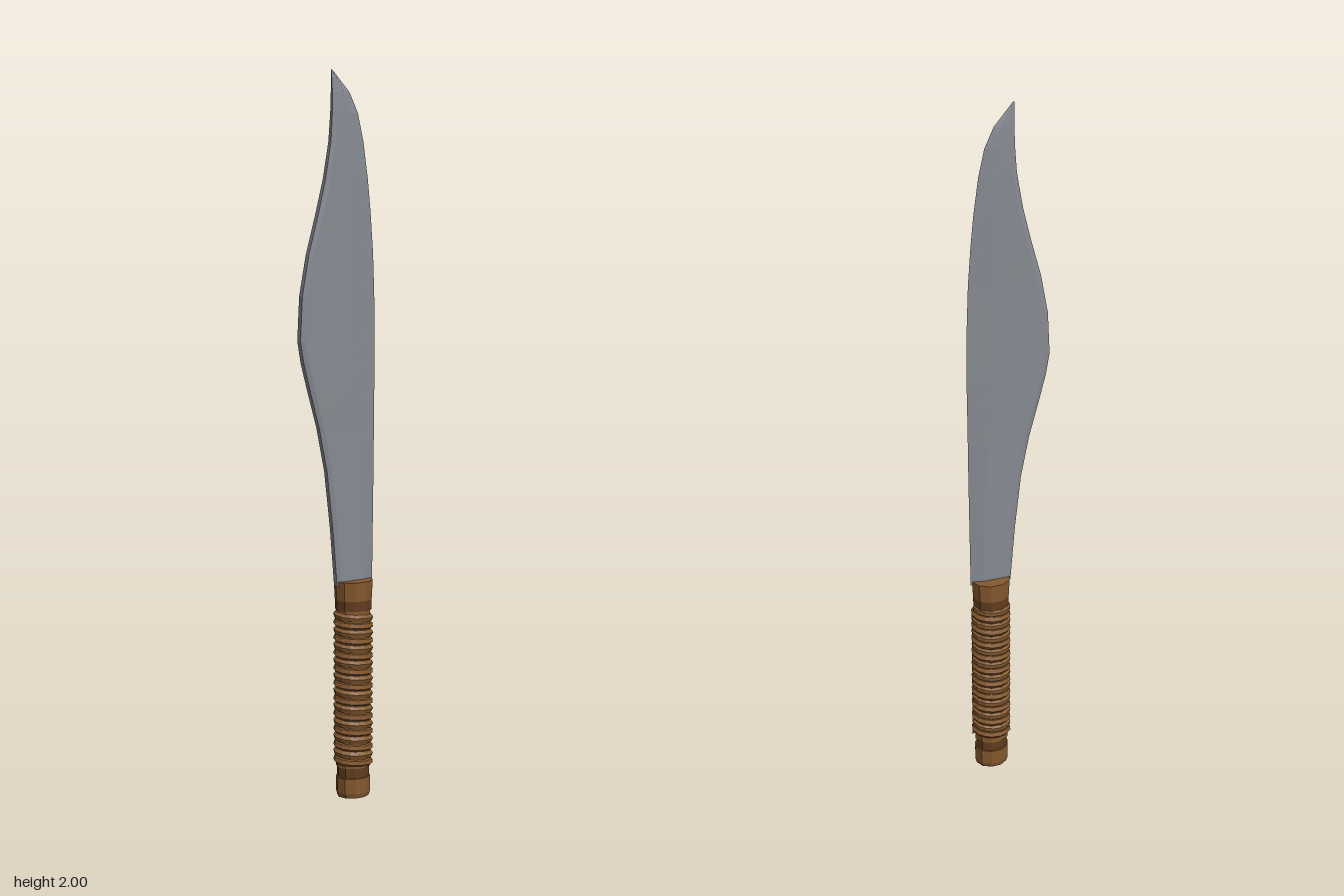
import * as THREE from 'three';

const HX = 0.051; // handle axis

function mat(name, color, flat = true) {
  const m = new THREE.MeshStandardMaterial({ color, flatShading: flat });
  m.name = name;
  return m;
}

// Blade lofted through hexagonal sections: [y, spine x, edge x, half thickness]
function bladeGeometry() {
  const rows = [
    [0.6, -0.005, 0.111, 0.013], [0.76, -0.018, 0.113, 0.013], [0.92, -0.036, 0.115, 0.013],
    [1.04, -0.06, 0.116, 0.013], [1.15, -0.09, 0.117, 0.014], [1.22, -0.108, 0.118, 0.014],
    [1.28, -0.118, 0.118, 0.014], [1.4, -0.112, 0.116, 0.014], [1.51, -0.092, 0.112, 0.013],
    [1.62, -0.062, 0.104, 0.013], [1.71, -0.04, 0.095, 0.012], [1.81, -0.023, 0.081, 0.011],
    [1.885, -0.018, 0.064, 0.009], [1.94, -0.017, 0.038, 0.007], [2.0, -0.018, -0.015, 0.001],
  ];
  const pos = [], idx = [], n = 6;
  for (const [y, s, e, t] of rows) {
    const w = e - s, back = s + Math.min(0.013, w * 0.2), ridge = s + w * 0.68;
    pos.push(s, y, t * 0.65, back, y, t, ridge, y, t * 0.8, e, y, 0, ridge, y, -t * 0.8, back, y, -t, s, y, -t * 0.65);
  }
  const m = n + 1; // seven points around each section
  for (let r = 0; r < rows.length - 1; r++) {
    for (let k = 0; k < m; k++) {
      const a = r * m + k, b = r * m + (k + 1) % m;
      idx.push(a, b, b + m, a, b + m, a + m);
    }
  }
  const top = (rows.length - 1) * m;
  for (let k = 1; k < n; k++) idx.push(0, k + 1, k, top, top + k, top + k + 1);
  const g = new THREE.BufferGeometry();
  g.setAttribute('position', new THREE.Float32BufferAttribute(pos, 3));
  g.setIndex(idx);
  const flat = g.toNonIndexed();
  flat.computeVertexNormals();
  return flat;
}

// Ten-sided oval segment of the handle
function segment(name, y0, y1, r0, r1, material) {
  const g = new THREE.CylinderGeometry(r1, r0, y1 - y0, 10, 1, false, Math.PI / 2);
  g.scale(1, 0.9, 0.88);
  g.scale(1, 1 / 0.9, 1);
  const mesh = new THREE.Mesh(g, material);
  mesh.name = name;
  mesh.position.set(HX, (y0 + y1) / 2, 0);
  return mesh;
}

// Cord wound in a helix around the grip
function cordGeometry() {
  const turns = 20, perTurn = 10, pts = [];
  for (let i = 0; i <= turns * perTurn; i++) {
    const a = (i / perTurn) * Math.PI * 2;
    pts.push(new THREE.Vector3(Math.cos(a) * 0.046, 0.095 + 0.43 * i / (turns * perTurn), Math.sin(a) * 0.038));
  }
  return new THREE.TubeGeometry(new THREE.CatmullRomCurve3(pts), turns * 14, 0.0115, 6, false);
}

export function createModel() {
  const model = new THREE.Group();
  model.name = 'machete';
  const steel = mat('steel', 0x868b92);
  const leather = mat('leather', 0x85592f);
  const dark = mat('darkLeather', 0x613c1e);

  const blade = new THREE.Mesh(bladeGeometry(), steel);
  blade.name = 'blade';
  model.add(blade);

  const handle = new THREE.Group();
  handle.name = 'handle';
  handle.add(
    segment('pommel', 0, 0.012, 0.045, 0.049, leather),
    segment('pommelBody', 0.012, 0.056, 0.049, 0.05, leather),
    segment('lowerBand', 0.056, 0.088, 0.046, 0.046, dark),
    segment('gripCore', 0.085, 0.535, 0.049, 0.049, leather),
    segment('upperBand', 0.53, 0.56, 0.052, 0.052, dark),
    segment('collar', 0.558, 0.612, 0.053, 0.056, leather),
  );
  const cord = new THREE.Mesh(cordGeometry(), leather);
  cord.name = 'gripCord';
  cord.position.x = HX;
  handle.add(cord);
  model.add(handle);
  return model;
}
